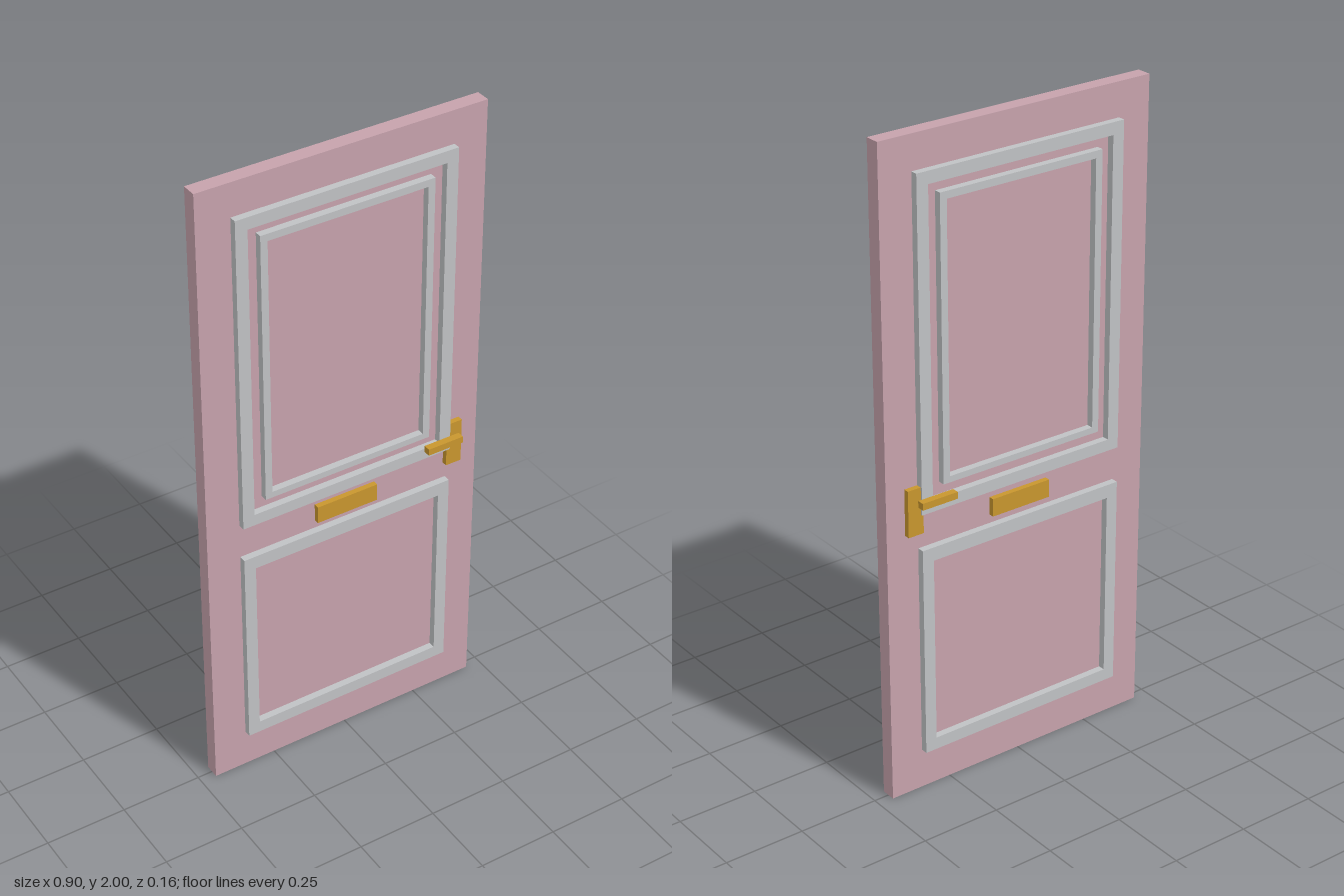
import * as THREE from 'three';

const material = (name, color) => {
  const m = new THREE.MeshStandardMaterial({ color });
  m.name = name;
  return m;
};

// Box given by its extents on each axis
function box(name, mat, [x0, x1], [y0, y1], [z0, z1]) {
  const mesh = new THREE.Mesh(new THREE.BoxGeometry(x1 - x0, y1 - y0, z1 - z0), mat);
  mesh.position.set((x0 + x1) / 2, (y0 + y1) / 2, (z0 + z1) / 2);
  mesh.name = name;
  return mesh;
}

// Counter-clockwise rectangle, centred on x = 0
function rectangle(path, half, y0, y1) {
  path.moveTo(-half, y0);
  path.lineTo(half, y0);
  path.lineTo(half, y1);
  path.lineTo(-half, y1);
  path.closePath();
  return path;
}

// Rectangular moulding that runs through the door and stands proud on both faces
function moulding(name, mat, outer, inner, depth) {
  const shape = rectangle(new THREE.Shape(), ...outer);
  shape.holes.push(rectangle(new THREE.Path(), ...inner));
  const geometry = new THREE.ExtrudeGeometry(shape, { depth, bevelEnabled: false });
  geometry.translate(0, 0, -depth / 2);
  const mesh = new THREE.Mesh(geometry, mat);
  mesh.name = name;
  return mesh;
}

export function createModel() {
  const door = new THREE.Group();
  door.name = 'door';
  const pink = material('dusty pink paint', 0xc6a2ac);
  const grey = material('grey trim', 0xc0c2c4);
  const brass = material('brass', 0xc8962e);

  // Door leaf
  door.add(box('doorLeaf', pink, [-0.452, 0.452], [0, 2], [-0.023, 0.023]));

  // Panel mouldings: half width, bottom, top
  door.add(
    moulding('upperOuterMoulding', grey, [0.347, 0.9, 1.897], [0.31, 0.936, 1.86], 0.09),
    moulding('upperInnerMoulding', grey, [0.273, 0.973, 1.828], [0.251, 0.992, 1.806], 0.09),
    moulding('lowerMoulding', grey, [0.347, 0.126, 0.788], [0.31, 0.164, 0.746], 0.09)
  );

  // Letter plate and lock plate show on both faces
  door.add(
    box('letterPlate', brass, [-0.1, 0.1], [0.815, 0.87], [-0.04, 0.04]),
    box('lockPlate', brass, [0.339, 0.39], [0.841, 0.985], [-0.04, 0.04])
  );

  // Lever handles, one standing off each face
  door.add(
    box('frontLever', brass, [0.25, 0.368], [0.936, 0.957], [0.057, 0.079]),
    box('backLever', brass, [0.25, 0.368], [0.936, 0.957], [-0.079, -0.057])
  );
  return door;
}
